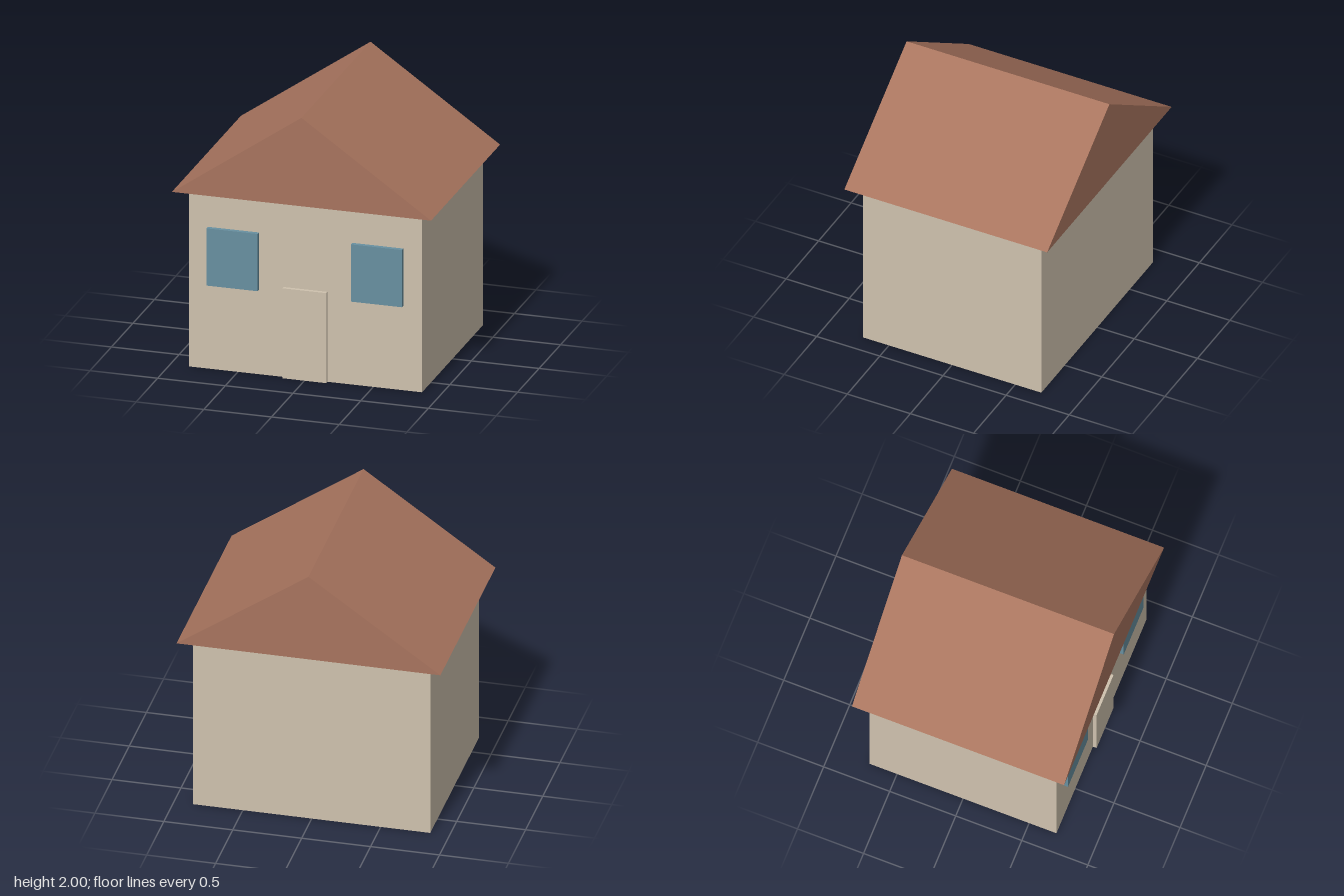
import * as THREE from 'three';

const wallPaint = new THREE.MeshStandardMaterial({ name: 'wallPaint', color: 0xcfc2ae });
const windowBlue = new THREE.MeshStandardMaterial({ name: 'windowBlue', color: 0x6890a0 });
const roofTile = new THREE.MeshStandardMaterial({ name: 'roofTile', color: 0xa8745e });
roofTile.side = THREE.DoubleSide; // the roof is a thin shell, open underneath

function box(name, material, w, h, d, x, y, z) {
  const mesh = new THREE.Mesh(new THREE.BoxGeometry(w, h, d), material);
  mesh.name = name;
  mesh.position.set(x, y, z);
  return mesh;
}

// Gabled shell: two slopes and two gable ends, no floor
function roofGeometry(halfWidth, eave, ridge, halfDepth) {
  const section = [[-halfWidth, eave], [halfWidth, eave], [0, ridge]];
  const points = [halfDepth, -halfDepth].flatMap((z) => section.flatMap(([x, y]) => [x, y, z]));
  const geometry = new THREE.BufferGeometry();
  geometry.setAttribute('position', new THREE.Float32BufferAttribute(points, 3));
  geometry.setIndex([
    0, 1, 2, // front gable
    4, 3, 5, // back gable
    1, 4, 5, 1, 5, 2, // left slope
    3, 0, 2, 3, 2, 5, // right slope
  ]);
  const faceted = geometry.toNonIndexed();
  faceted.computeVertexNormals();
  return faceted;
}

export function createModel() {
  const house = new THREE.Group();
  house.name = 'house';

  // Body
  const wallHeight = 1.335;
  house.add(box('walls', wallPaint, 1.72, wallHeight, 1.414, 0, wallHeight / 2, 0));

  // Roof
  const roof = new THREE.Mesh(roofGeometry(0.957, wallHeight, 2, 0.803), roofTile);
  roof.name = 'roof';
  house.add(roof);

  // Door and a pair of windows standing proud of the front wall
  house.add(box('door', wallPaint, 0.324, 0.676, 0.05, 0, 0.338, 0.71));
  for (const side of [-1, 1]) {
    const name = side > 0 ? 'leftWindow' : 'rightWindow';
    house.add(box(name, windowBlue, 0.378, 0.43, 0.06, side * 0.533, 0.85, 0.71));
  }
  return house;
}
